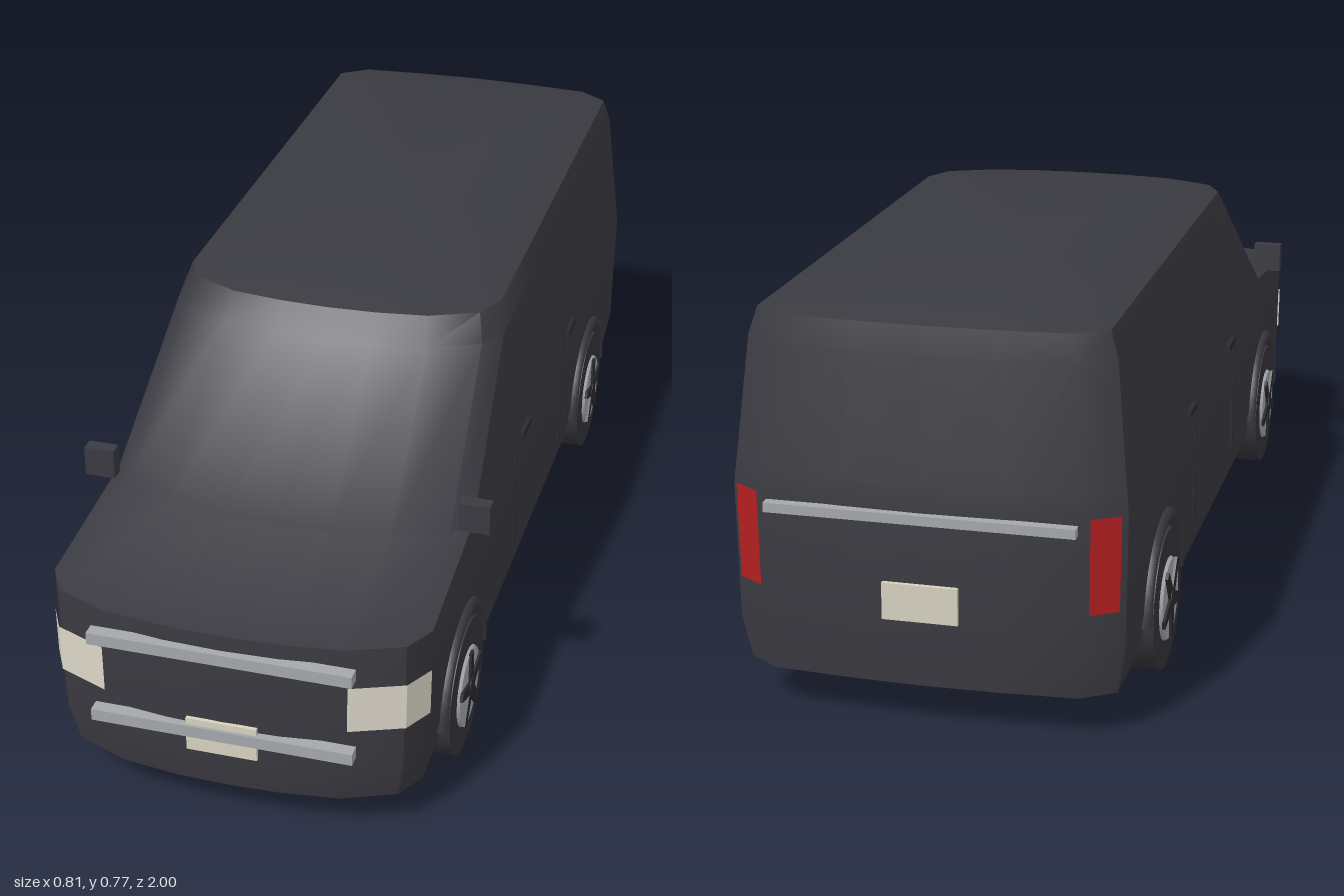
import * as THREE from 'three';
import { toCreasedNormals } from 'three/addons/utils/BufferGeometryUtils.js';

const mat = (name, color, side = THREE.FrontSide) => {
  const m = new THREE.MeshStandardMaterial({ color, side });
  m.name = name;
  return m;
};

// Body levels: [height, half width, front z, rear z]
const LEVELS = [
  [0.085, 0.345, 0.972, -0.978],
  [0.17, 0.36, 0.988, -0.986],
  [0.43, 0.364, 0.985, -0.986],
  [0.465, 0.36, 0.66, -0.982],
  [0.70, 0.337, 0.335, -0.957],
  [0.75, 0.322, 0.30, -0.947],
  [0.77, 0.24, 0.20, -0.87],
];

// Plan outline of the body at one level, from the front centre round by +x
function outline([y, w, zf, zr]) {
  const half = [
    [0, zf], [0.3 * w, zf - 0.004], [0.62 * w, zf - 0.018], [0.91 * w, zf - 0.06], [w, zf - 0.12],
    ...[0.25, 0.5, 0.75].map((t) => [w, THREE.MathUtils.lerp(zf - 0.12, zr + 0.055, t)]),
    [w, zr + 0.055], [0.82 * w, zr + 0.014], [0.4 * w, zr + 0.004], [0, zr],
  ];
  const mirrored = half.slice(1, -1).reverse().map(([x, z]) => [-x, z]);
  return [...half, ...mirrored].map(([x, z]) => new THREE.Vector3(x, y, z));
}

function levelAt(y) {
  const i = Math.max(1, LEVELS.findIndex((l) => l[0] >= y));
  const a = LEVELS[i - 1], b = LEVELS[i], t = (y - a[0]) / (b[0] - a[0]);
  return a.map((v, k) => THREE.MathUtils.lerp(v, b[k], t));
}

function fromTriangles(points) {
  return new THREE.BufferGeometry().setFromPoints(points);
}

function bodyGeometry() {
  const rings = LEVELS.map(outline), n = rings[0].length, tri = [];
  for (let r = 0; r < rings.length - 1; r++) {
    for (let i = 0; i < n; i++) {
      const j = (i + 1) % n, lo = rings[r], hi = rings[r + 1];
      tri.push(lo[i], lo[j], hi[j], lo[i], hi[j], hi[i]);
    }
  }
  const bottom = rings[0], top = rings[rings.length - 1];
  const floor = new THREE.Vector3(0, 0.085, 0), roof = new THREE.Vector3(0, 0.772, -0.33);
  for (let i = 0; i < n; i++) {
    const j = (i + 1) % n;
    tri.push(floor, bottom[j], bottom[i], roof, top[i], top[j]);
  }
  return toCreasedNormals(fromTriangles(tri), 0.6);
}

// Lamp skin that wraps round a body corner, just outside the surface
function lampGeometry(y0, y1, keep, side, zOff) {
  const [lo, hi] = [y0, y1].map((y) => {
    const o = outline(levelAt(y)).slice(0, 12), pts = [];
    for (let i = 0; i < o.length - 1; i++) {
      for (let k = 0; k < 20; k++) pts.push(o[i].clone().lerp(o[i + 1], k / 20));
    }
    return pts;
  });
  const put = (p) => new THREE.Vector3(side * (p.x + 0.004), p.y, p.z + zOff);
  const tri = [];
  for (let i = 0; i < lo.length - 1; i++) {
    if (!keep(lo[i]) || !keep(lo[i + 1])) continue;
    const q = [lo[i], lo[i + 1], hi[i + 1], hi[i]].map(put);
    const order = side > 0 ? [0, 1, 2, 0, 2, 3] : [0, 2, 1, 0, 3, 2];
    order.forEach((k) => tri.push(q[k]));
  }
  return toCreasedNormals(fromTriangles(tri), 0.6);
}

export function createModel() {
  const van = new THREE.Group();
  van.name = 'van';
  const paint = mat('charcoal paint', 0x3a3a41);
  const rubber = mat('tyre rubber', 0x35353b);
  const dark = mat('dark trim', 0x2a2a2f);
  const chrome = mat('chrome', 0xa4a8ac);
  const lens = mat('headlight lens', 0xdad6c8, THREE.DoubleSide);
  const red = mat('tail light red', 0xb41f20, THREE.DoubleSide);
  const cream = mat('plate cream', 0xd6d2c0);

  const add = (name, geometry, material, x = 0, y = 0, z = 0, parent = van) => {
    const m = new THREE.Mesh(geometry, material);
    m.name = name;
    m.position.set(x, y, z);
    parent.add(m);
    return m;
  };
  const box = (name, w, h, d, material, x, y, z, parent) =>
    add(name, new THREE.BoxGeometry(w, h, d), material, x, y, z, parent);

  add('body', bodyGeometry(), paint);

  // Bars and plates on nose and tail
  box('upperGrilleBar', 0.502, 0.024, 0.026, chrome, 0, 0.387, 0.987);
  box('lowerGrilleBar', 0.502, 0.024, 0.026, chrome, 0, 0.216, 0.987);
  box('frontPlate', 0.136, 0.07, 0.008, cream, 0, 0.206, 0.99);
  box('tailBar', 0.57, 0.018, 0.02, chrome, 0, 0.41, -0.99);
  box('rearPlate', 0.14, 0.07, 0.008, cream, 0, 0.25, -0.99);

  // Tapered spoke, pointing up from the hub
  const spokeShape = new THREE.Shape([
    [-0.015, 0], [0.015, 0], [0.009, 0.08], [-0.009, 0.08],
  ].map((p) => new THREE.Vector2(...p)));
  const spokeGeo = new THREE.ExtrudeGeometry(spokeShape, { depth: 0.006, bevelEnabled: false });
  const tyreGeo = new THREE.CylinderGeometry(0.137, 0.137, 0.087, 20).rotateZ(Math.PI / 2);
  const rimGeo = new THREE.CylinderGeometry(0.078, 0.084, 0.01, 24).rotateX(Math.PI / 2);
  const hubGeo = new THREE.CylinderGeometry(0.022, 0.022, 0.008, 16).rotateX(Math.PI / 2);
  const archGeo = new THREE.TorusGeometry(0.156, 0.014, 6, 20, Math.PI).rotateY(Math.PI / 2);

  for (const s of [1, -1]) {
    const side = s > 0 ? 'left' : 'right';

    // Lamps
    add(side + 'Headlight', lampGeometry(0.255, 0.35, (p) => p.x > 0.228 && p.z > 0.87, s, 0.004), lens);
    add(side + 'TailLight', lampGeometry(0.25, 0.43, (p) => p.x > 0.298 && p.z < -0.938, s, -0.004), red);

    // Mirror
    box(side + 'Mirror', 0.06, 0.06, 0.028, paint, s * 0.374, 0.507, 0.588);

    // Door seams and handles
    for (const z of [0.18, -0.28]) {
      box(side + 'DoorSeam', 0.006, 0.27, 0.005, dark, s * 0.3625, 0.315, z);
      box(side + 'DoorHandle', 0.014, 0.014, 0.07, dark, s * 0.365, 0.432, z - 0.065);
    }

    // Wheels with their arches
    for (const z of [0.62, -0.6]) {
      const wheel = new THREE.Group();
      wheel.name = side + (z > 0 ? 'FrontWheel' : 'RearWheel');
      wheel.position.set(0, 0.137, z);
      van.add(wheel);
      add('tyre', tyreGeo, rubber, s * 0.3285, 0, 0, wheel);
      add('arch', archGeo, paint, s * 0.361, 0.005, 0, wheel);
      const face = new THREE.Group();
      face.name = 'wheelFace';
      face.position.x = s * 0.373;
      face.rotation.y = s * Math.PI / 2;
      wheel.add(face);
      add('rim', rimGeo, chrome, 0, 0, 0, face);
      add('hub', hubGeo, dark, 0, 0, 0.007, face);
      for (let k = 0; k < 5; k++) {
        add('spoke', spokeGeo, dark, 0, 0, 0.004, face).rotation.z = k * Math.PI * 0.4 + Math.PI / 2 * (1 - s);
      }
    }
  }
  return van;
}
